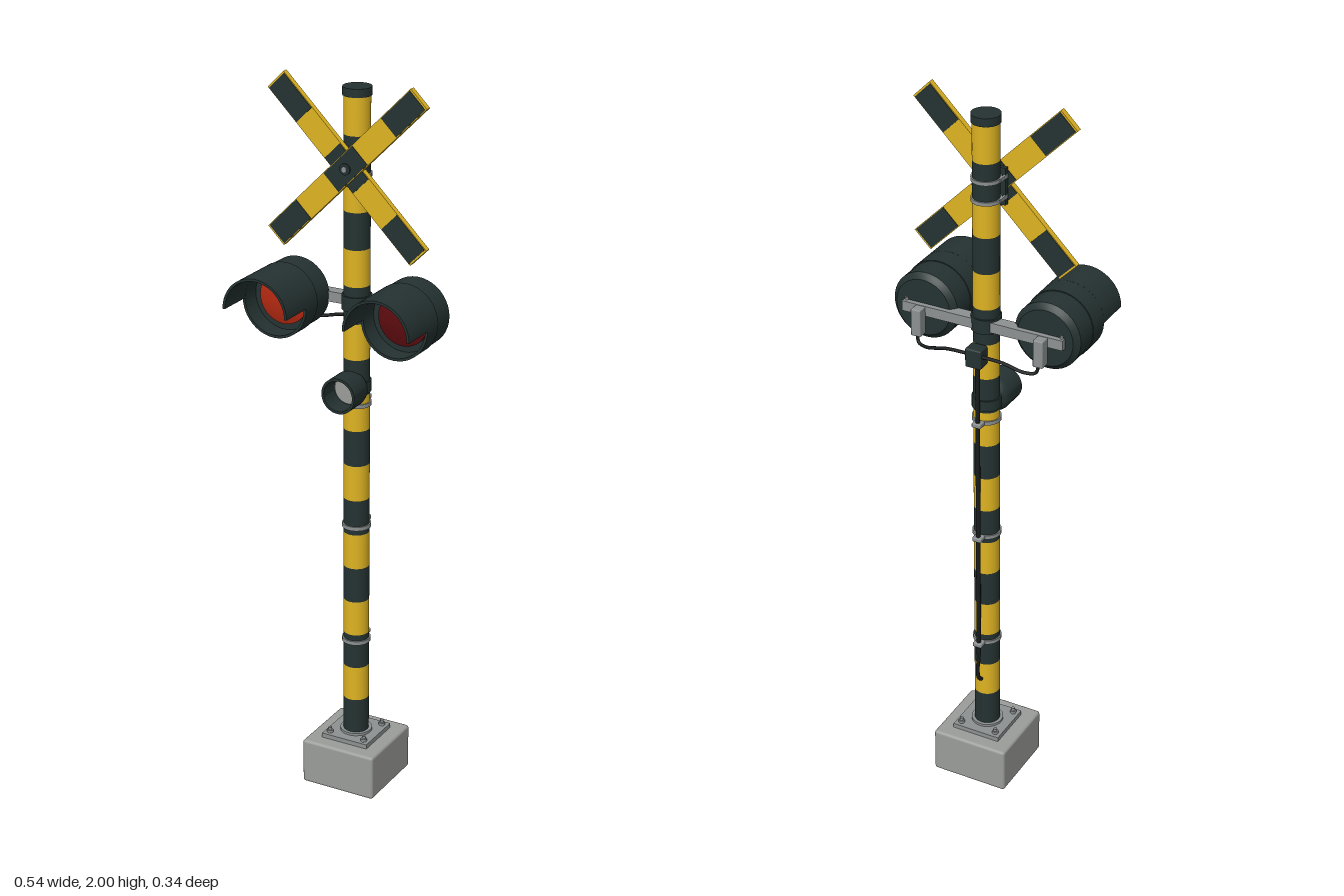
import * as THREE from 'three';
import { toCreasedNormals } from 'three/addons/utils/BufferGeometryUtils.js';
import { RoundedBoxGeometry } from 'three/addons/geometries/RoundedBoxGeometry.js';

const mat = (name, color) => Object.assign(new THREE.MeshStandardMaterial({ color }), { name });

export function createModel() {
  const yellow = mat('warning yellow', 0xdeb322);
  const dark = mat('dark green black', 0x243231);
  const concrete = mat('concrete grey', 0x9b9d9a);
  const steel = mat('steel grey', 0x8d9191);
  const cableBlack = mat('cable black', 0x171b1c);
  const brightRed = mat('lit red', 0xb82a12);
  const deepRed = mat('unlit red', 0x5e0c10);

  const model = new THREE.Group();
  model.name = 'crossingSignal';
  const PZ = -0.059; // z of the pole axis
  const R = 0.035;

  const add = (name, geo, material, x = 0, y = 0, z = 0, parent = model) => {
    const m = new THREE.Mesh(geo, material);
    m.name = name;
    m.position.set(x, y, z);
    parent.add(m);
    return m;
  };
  const box = (w, h, d) => new THREE.BoxGeometry(w, h, d);
  const cyl = (r, h, n = 32) => new THREE.CylinderGeometry(r, r, h, n);
  // Turned part whose axis runs along z; points are [radius, z]
  const turned = (pts, n = 40) => {
    const g = new THREE.LatheGeometry(pts.map(p => new THREE.Vector2(...p)), n);
    g.rotateX(Math.PI / 2);
    return toCreasedNormals(g, 0.6);
  };
  const tube = (pts, r) => new THREE.TubeGeometry(
    new THREE.CatmullRomCurve3(pts.map(p => new THREE.Vector3(...p))), 32, r, 8);

  // Foundation, base plate and anchor bolts
  add('foundation', new RoundedBoxGeometry(0.22, 0.13, 0.22, 2, 0.008), concrete, 0, 0.065, PZ);
  add('basePlate', box(0.14, 0.014, 0.14), steel, 0, 0.136, PZ);
  add('baseFlange', cyl(0.044, 0.008), steel, 0, 0.146, PZ);
  for (const sx of [-1, 1]) for (const sz of [-1, 1]) {
    add('anchorNut', cyl(0.009, 0.008, 6), steel, sx * 0.053, 0.147, PZ + sz * 0.053);
    add('anchorBolt', cyl(0.005, 0.016, 10), steel, sx * 0.053, 0.151, PZ + sz * 0.053);
  }

  // Striped pole
  const bands = [0.14];
  for (let i = 0; i < 18; i++) bands.push(0.25 + i * 0.1);
  for (let i = 0; i < bands.length - 1; i++) {
    const h = bands[i + 1] - bands[i];
    add('poleBand', cyl(R, h), i % 2 ? yellow : dark, 0, bands[i] + h / 2, PZ);
  }
  add('poleCap', cyl(0.038, 0.022), dark, 0, 1.961, PZ);

  // Crossed sign boards with dark panels on both faces
  const sign = new THREE.Group();
  sign.name = 'crossSign';
  sign.position.set(0, 1.772, -0.0085);
  model.add(sign);
  [1, -1].forEach((s, k) => {
    const arm = new THREE.Group();
    arm.name = 'signArm';
    arm.rotation.z = s * Math.PI / 4;
    arm.position.z = k ? -0.003 : 0.003;
    sign.add(arm);
    add('signBoard', box(0.58, 0.065, 0.016), yellow, 0, 0, 0, arm);
    for (const x of [-0.229, 0, 0.229])
      add('signStripe', box(x ? 0.112 : 0.116, 0.061, 0.019), dark, x, 0, 0, arm);
  });
  const washer = add('signWasher', cyl(0.015, 0.006, 24), dark, 0, 0, 0.014, sign);
  const bolt = add('signBolt', cyl(0.008, 0.012, 6), steel, 0, 0, 0.014, sign);
  washer.rotation.x = bolt.rotation.x = Math.PI / 2;

  // Sign bracket and its straps
  add('signBracket', box(0.08, 0.1, 0.012), dark, 0, 1.772, -0.026);
  for (const y of [1.8, 1.745]) {
    add('signStrap', cyl(0.039, 0.01), steel, 0, y, PZ);
    for (const s of [-1, 1])
      add('strapArm', box(0.006, 0.01, 0.038), steel, s * 0.038, y, -0.04);
  }

  // Lamp crossarm with pole clamp
  add('crossarm', box(0.46, 0.028, 0.034), steel, 0, 1.403, -0.072);
  add('crossarmClamp', cyl(0.04, 0.04), dark, 0, 1.403, PZ);

  // Pair of lamps
  const LX = 0.175, LY = 1.405;
  const housing = turned([[0, -0.075], [0.078, -0.075], [0.085, -0.066], [0.0925, -0.06],
    [0.0925, 0.007], [0.095, 0.007], [0.095, 0.066], [0.088, 0.066], [0.088, 0.012],
    [0.072, 0.012], [0, 0.012]]);
  const lens = turned([[0.071, 0.012], [0.071, 0.018], [0.055, 0.024], [0.03, 0.029], [0, 0.031]]);
  const hoodShape = new THREE.Shape();
  hoodShape.absarc(0, 0, 0.095, 0, Math.PI, false);
  hoodShape.absarc(0, 0, 0.088, Math.PI, 0, true);
  const hood = toCreasedNormals(new THREE.ExtrudeGeometry(hoodShape,
    { depth: 0.1, bevelEnabled: false, curveSegments: 28 }), 0.6);
  for (const s of [-1, 1]) {
    const lamp = new THREE.Group();
    lamp.name = s < 0 ? 'rightLamp' : 'leftLamp';
    lamp.position.set(s * LX, LY, 0);
    model.add(lamp);
    add('lampHousing', housing, dark, 0, 0, 0, lamp);
    add('lampLens', lens, s < 0 ? brightRed : deepRed, 0, 0, 0, lamp);
    add('lampHood', hood, dark, 0, 0, 0.066, lamp);
    // Terminal block and arm fixing
    add('terminalBlock', new RoundedBoxGeometry(0.028, 0.076, 0.03, 2, 0.003), steel,
      s * LX, 1.378, -0.102);
    add('armBolt', cyl(0.005, 0.008, 8), steel, s * 0.222, 1.42, -0.076);
    // Cable from lamp to junction box
    add('lampCable', tube([[s * 0.175, 1.345, -0.108], [s * 0.168, 1.322, -0.112],
      [s * 0.14, 1.32, -0.121], [s * 0.08, 1.333, -0.124], [s * 0.015, 1.335, -0.124]], 0.0045),
      cableBlack);
  }

  // Junction box and downward conduit
  add('junctionBox', new RoundedBoxGeometry(0.046, 0.054, 0.04, 2, 0.005), dark, 0, 1.327, -0.114);
  add('conduit', cyl(0.006, 0.92, 12), cableBlack, 0, 0.85, -0.108);
  add('conduitTail', tube([[0, 0.41, -0.108], [0, 0.38, -0.109], [0, 0.345, -0.115],
    [0, 0.315, -0.11], [0, 0.302, -0.098], [0, 0.3, -0.085]], 0.0055), cableBlack);

  // Conduit clamps
  for (const y of [1.122, 0.77, 0.427]) {
    add('conduitStrap', cyl(0.039, 0.011), steel, 0, y, PZ);
    add('conduitSaddle', new RoundedBoxGeometry(0.026, 0.013, 0.026, 2, 0.003), steel, 0, y, -0.106);
  }

  // Bell: open drum with a recessed face
  add('bellDrum', turned([[0, -0.045], [0.036, -0.045], [0.045, -0.036], [0.049, -0.02],
    [0.049, 0.044], [0.042, 0.044], [0.042, -0.014], [0, -0.014]]), dark, 0, 1.172, 0);
  add('bellFace', turned([[0.0415, -0.013], [0.038, -0.009], [0, -0.008]]), concrete, 0, 1.172, 0);
  add('bellClamp', cyl(0.039, 0.03), dark, 0, 1.172, PZ);

  return model;
}
